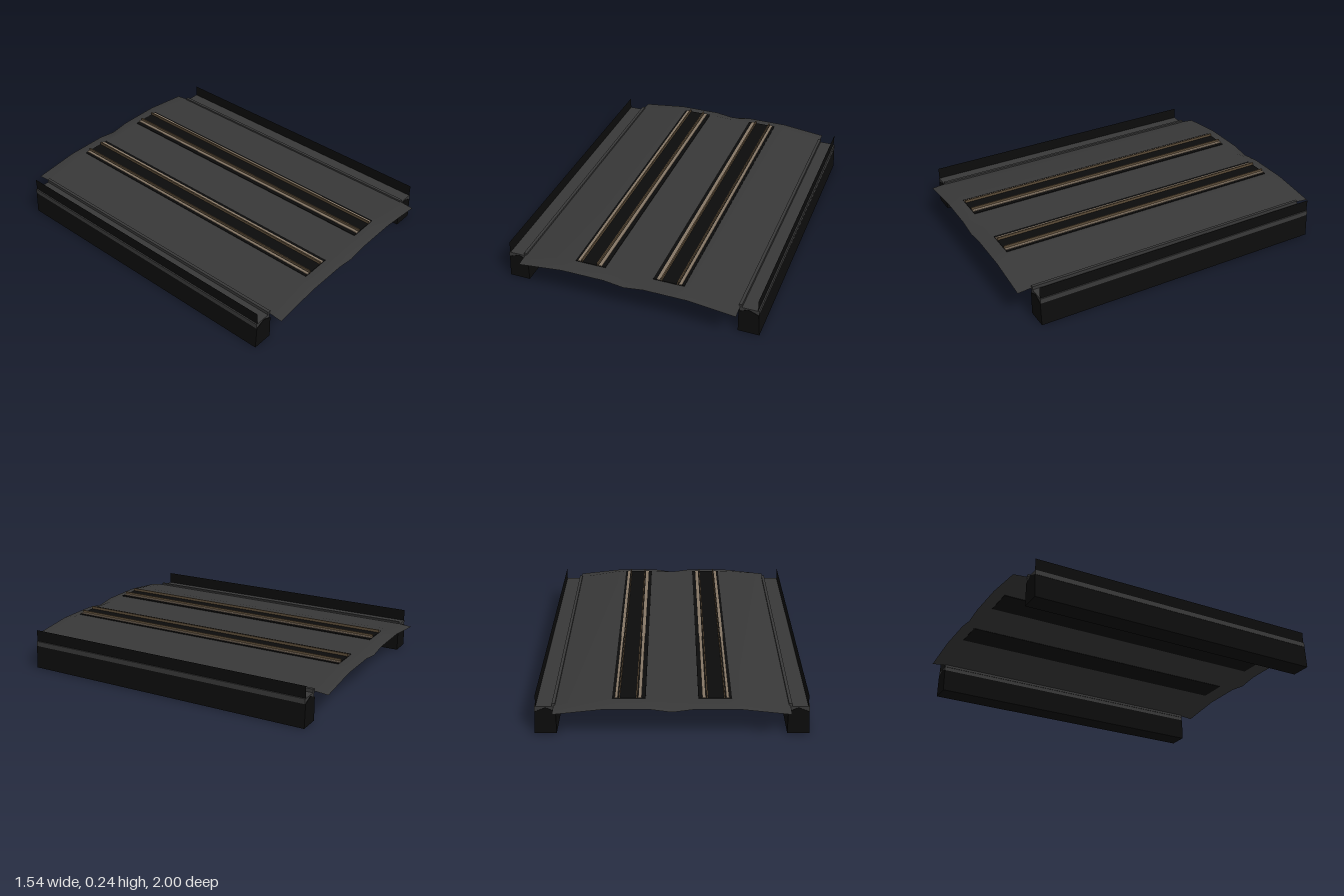
import * as THREE from 'three';

const HALF = 0.915; // half length of the level part of the bridge
const mat = (name, color, side = THREE.FrontSide) => {
  const m = new THREE.MeshStandardMaterial({ color, side });
  m.name = name;
  return m;
};

export function createModel() {
  const root = new THREE.Group();
  root.name = 'railwayBridge';
  const grey = mat('concreteGrey', 0x383838);
  const deckGrey = mat('deckGrey', 0x383838, THREE.DoubleSide);
  const black = mat('black', 0x0c0c0c, THREE.DoubleSide);
  const tan = mat('railTan', 0x857665);
  const brown = mat('rustBrown', 0x5c4c38);

  const add = (name, geometry, material, parent = root) => {
    const m = new THREE.Mesh(geometry, material);
    m.name = name;
    parent.add(m);
    return m;
  };
  const box = (name, x0, x1, y0, y1, material, parent) => {
    const m = add(name, new THREE.BoxGeometry(Math.abs(x1 - x0), y1 - y0, HALF * 2), material, parent);
    m.position.set((x0 + x1) / 2, (y0 + y1) / 2, 0);
    return m;
  };

  // Deck: cambered sheet whose two ends slope down to a lower profile
  const xs = [-0.655, -0.38, -0.3, -0.12, 0, 0.12, 0.3, 0.38, 0.655];
  const high = [0.178, 0.225, 0.222, 0.222, 0.22, 0.222, 0.222, 0.225, 0.178];
  const low = [0.17, 0.202, 0.202, 0.202, 0.185, 0.202, 0.202, 0.202, 0.17];
  const rows = [[-1, low], [-HALF, high], [HALF, high], [1, low]];
  const pos = [], index = [], n = xs.length;
  for (const [z, ys] of rows) xs.forEach((x, i) => pos.push(x, ys[i], z));
  for (let r = 0; r < rows.length - 1; r++) {
    for (let i = 0; i < n - 1; i++) {
      const a = r * n + i, b = a + 1, c = a + n, d = c + 1;
      index.push(a, c, b, b, c, d);
    }
  }
  const deck = new THREE.BufferGeometry();
  deck.setAttribute('position', new THREE.Float32BufferAttribute(pos, 3));
  deck.setIndex(index);
  deck.computeVertexNormals();
  add('deck', deck, deckGrey);

  for (const s of [-1, 1]) {
    const side = new THREE.Group();
    side.name = s > 0 ? 'leftSide' : 'rightSide';
    root.add(side);

    // Side beam: tapered black girder with a low peak under the ledge
    const profile = new THREE.Shape(
      [[0.645, 0], [0.77, 0], [0.761, 0.14], [0.7, 0.165], [0.645, 0.14]]
        .map(([x, y]) => new THREE.Vector2(s * x, y)));
    const beam = new THREE.ExtrudeGeometry(profile, { depth: HALF * 2 + 0.004, bevelEnabled: false });
    beam.translate(0, 0, -HALF - 0.002);
    add('sideBeam', beam, black, side);
    box('ledge', s * 0.65, s * 0.763, 0.14, 0.17, grey, side);
    box('curb', s * 0.646, s * 0.664, 0.165, 0.19, grey, side);

    // Thin railing along the outer edge
    const railing = add('railing', new THREE.PlaneGeometry(HALF * 2, 0.072), black, side);
    railing.rotation.y = Math.PI / 2;
    railing.position.set(s * 0.755, 0.205, 0);

    // Track: black bed, rails and guard strips
    const track = new THREE.Group();
    track.name = s > 0 ? 'leftTrack' : 'rightTrack';
    root.add(track);
    box('trackBed', s * 0.145, s * 0.33, 0.22, 0.226, black, track);
    box('innerRail', s * 0.167, s * 0.186, 0.226, 0.23, tan, track);
    box('innerRailEdge', s * 0.19, s * 0.198, 0.226, 0.242, brown, track);
    box('outerRail', s * 0.299, s * 0.315, 0.226, 0.23, tan, track);
    box('outerRailEdge', s * 0.287, s * 0.294, 0.226, 0.242, brown, track);
  }
  return root;
}
